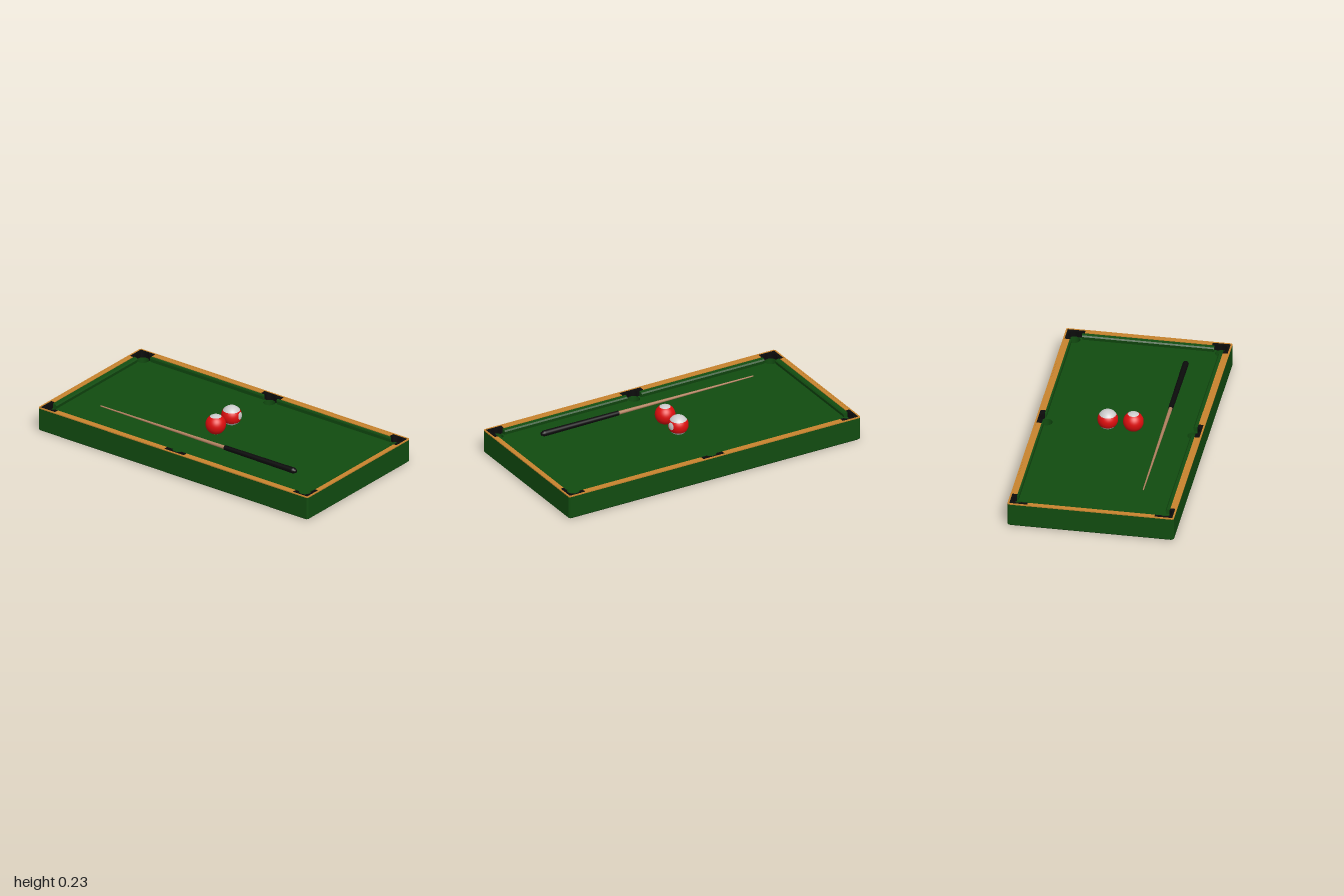
import * as THREE from 'three';

const mat = (color, flat = false) => new THREE.MeshStandardMaterial({ color, flatShading: flat });
const GREEN = mat(0x114c10), WOOD = mat(0xc8842e), BLACK = mat(0x0b0b0b), RED = mat(0xdd0e0e);
const GREY = mat(0xcccccc), TAN = mat(0xb0805f);
const POCKET_R = 0.037, BED = 0.113;

export function createModel() {
  const model = new THREE.Group();
  const add = (name, geo, material, parent = model) => {
    const m = new THREE.Mesh(geo, material);
    m.name = name;
    parent.add(m);
    return m;
  };
  const poly = (pts) => new THREE.Shape(pts.map(([x, z]) => new THREE.Vector2(x, z)));
  // rectangle with clipped corners
  const rect = (w, d, c = 0) => poly(c
    ? [[w - c, -d], [w, c - d], [w, d - c], [w - c, d], [c - w, d], [-w, d - c], [-w, c - d], [c - w, -d]]
    : [[w, -d], [w, d], [-w, d], [-w, -d]]);
  const withHoles = (shape, ...holes) => { shape.holes.push(...holes); return shape; };
  const circle = (x, z) => new THREE.Path().absarc(x, z, POCKET_R, 0, Math.PI * 2);
  // horizontal plate from bottom to top, drawn in x and z
  const plate = (shape, bottom, top, bevel = 0) => {
    const g = new THREE.ExtrudeGeometry(shape, {
      depth: top - bottom - 2 * bevel, curveSegments: 24,
      bevelEnabled: bevel > 0, bevelSize: bevel, bevelThickness: bevel, bevelSegments: 1,
    });
    return g.rotateX(Math.PI / 2).translate(0, top - bevel, 0);
  };

  // table body: floor open under the two front pockets, walls, cloth bed
  const pockets = [-1, 1].flatMap((s) => [-0.935, 0, 0.935].map((z) => [s * 0.44, z]));
  add('floor', plate(withHoles(rect(0.489, 0.989, 0.008),
    ...pockets.filter((p) => p[1] > 0.5).map((p) => circle(...p))), 0, 0.024, 0.008), GREEN);
  add('walls', plate(withHoles(rect(0.497, 0.997, 0.008), rect(0.48, 0.975)), 0.008, 0.144), GREEN);
  add('bed', plate(withHoles(rect(0.48, 0.975), ...pockets.map((p) => circle(...p))), 0.024, BED), GREEN);

  // wooden edge and rails
  add('edgeTrim', plate(withHoles(rect(0.497, 0.997, 0.008), rect(0.487, 0.987)), 0.144, 0.15), WOOD);
  const box = (name, x0, x1, z0, z1, material) => add(name,
    new THREE.BoxGeometry(x1 - x0, 0.149 - BED, z1 - z0)
      .translate((x0 + x1) / 2, (0.149 + BED) / 2, (z0 + z1) / 2), material);
  for (const s of [-1, 1]) {
    box('endRail', -0.38, 0.38, Math.min(s * 0.965, s * 0.988), Math.max(s * 0.965, s * 0.988), WOOD);
    for (const t of [-1, 1]) {
      const xs = [s * 0.457, s * 0.488].sort((a, b) => a - b);
      const zs = [t * 0.072, t * 0.88].sort((a, b) => a - b);
      box('sideRail', ...xs, ...zs, WOOD);
    }
  }

  // black pocket castings with a round bite
  const bite = (cx, cz, from, to) => Array.from({ length: 17 }, (_, i) => {
    const a = THREE.MathUtils.degToRad(from + (to - from) * i / 16);
    return [cx + POCKET_R * Math.cos(a), cz + POCKET_R * Math.sin(a)];
  });
  const corner = [[0.38, 0.988], [0.488, 0.988], [0.488, 0.88], [0.457, 0.88],
    ...bite(0.44, 0.935, -62.7, 125.9), [0.38, 0.965]];
  const middle = [[0.457, 0.072], [0.488, 0.072], [0.488, -0.072], [0.457, -0.072],
    ...bite(0.44, 0, -62.7, 62.7)];
  for (const s of [-1, 1]) {
    add('middlePocketCasting', plate(poly(middle.map(([x, z]) => [s * x, z])), BED, 0.149), BLACK);
    for (const t of [-1, 1]) {
      add('cornerPocketCasting', plate(poly(corner.map(([x, z]) => [s * x, t * z])), BED, 0.149), BLACK);
    }
  }

  // cloth cushions, sloping from the rail down to the bed
  const cushion = (length, width, x, z, turn) => {
    const profile = poly([[0, BED], [width * 0.8, BED], [width, 0.134], [width * 0.75, 0.142], [0, 0.145]]);
    const g = new THREE.ExtrudeGeometry(profile, { depth: length, bevelEnabled: false });
    const m = add('cushion', g.translate(0, 0, -length / 2), GREEN);
    m.position.set(x, 0, z);
    m.rotation.y = turn;
  };
  for (const t of [-1, 1]) {
    cushion(0.84, 0.028, -0.457, t * 0.468, 0);
    cushion(0.84, 0.01, 0.457, t * 0.468, Math.PI);
  }
  cushion(0.79, 0.026, 0, -0.965, -Math.PI / 2);
  cushion(0.79, 0.026, 0, 0.965, Math.PI / 2);

  // cue lying along the table
  const cue = new THREE.Group();
  cue.name = 'cue';
  cue.position.set(-0.265, 0.154, 0);
  model.add(cue);
  const turned = (pts) => new THREE.LatheGeometry(pts.map(([r, l]) => new THREE.Vector2(r, l)), 24)
    .rotateX(Math.PI / 2);
  add('shaft', turned([[0, -0.712], [0.003, -0.712], [0.004, -0.705], [0.011, 0.212]]), TAN, cue);
  add('butt', turned([[0, 0.21], [0.0145, 0.21], [0.018, 0.71], [0.018, 0.722], [0.011, 0.724],
    [0.011, 0.735], [0, 0.735]]), BLACK, cue);

  // balls: red belt between two pale caps
  const R = 0.061;
  const ball = (name, x, cap) => {
    const g = new THREE.Group();
    g.name = name;
    g.position.set(x, 0.174, 0);
    model.add(g);
    const zone = (part, start, size, m) =>
      add(part, new THREE.SphereGeometry(R, 40, 16, 0, Math.PI * 2, start, size), m, g);
    zone('topCap', 0, cap, GREY);
    zone('belt', cap, Math.PI - 2 * cap, RED);
    zone('bottomCap', Math.PI - cap, cap, GREY);
    return g;
  };
  ball('spottedBall', -0.08, 0.58);
  const striped = ball('stripedBall', 0.073, 0.98);
  // round spot on the front of the striped ball
  const spot = add('spot', new THREE.SphereGeometry(R * 1.008, 32, 6, 0, Math.PI * 2, 0, 0.38), GREY, striped);
  spot.quaternion.setFromUnitVectors(new THREE.Vector3(0, 1, 0),
    new THREE.Vector3(0.18, 0.11, 1).normalize());

  return model;
}
